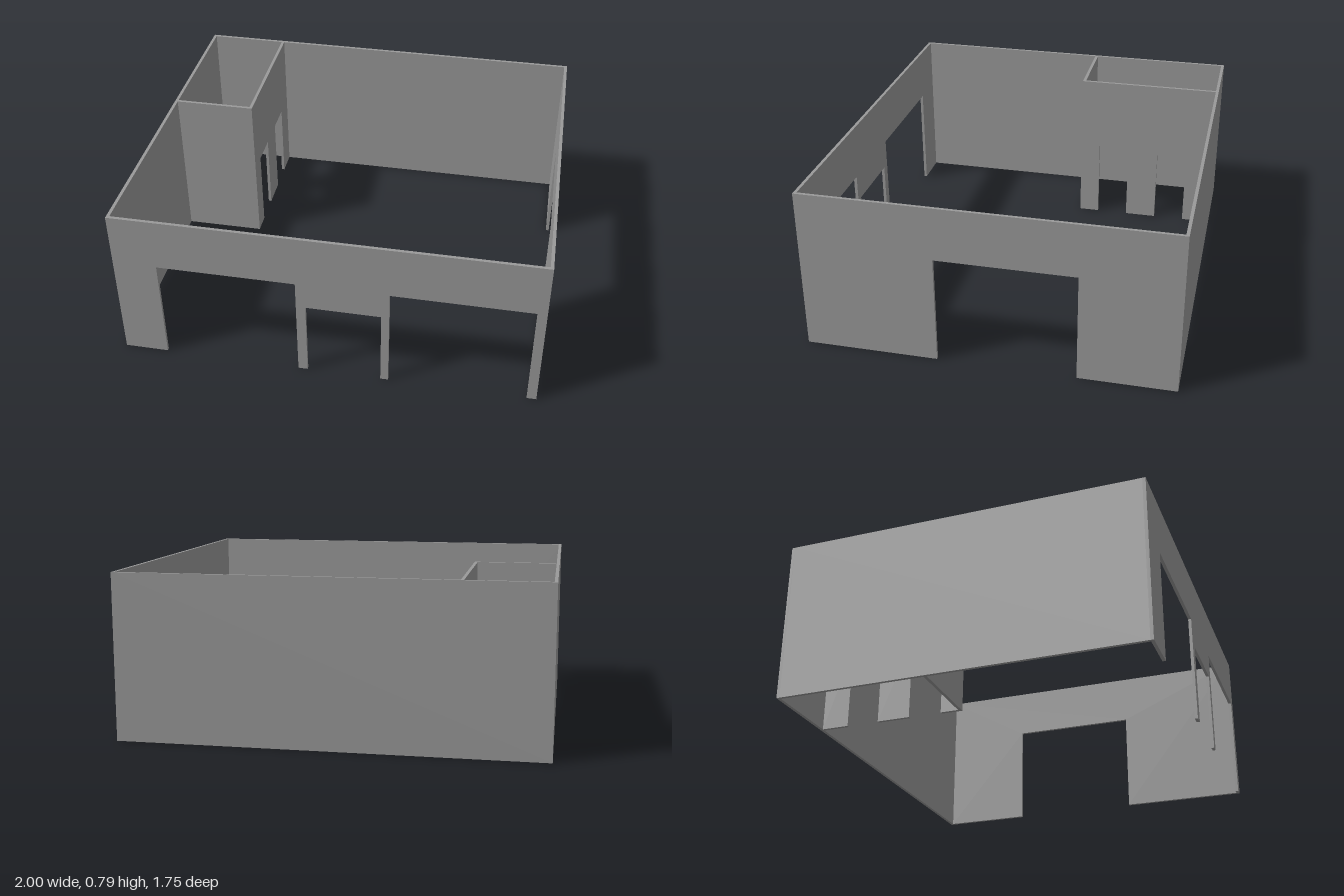
import * as THREE from 'three';

const HEIGHT = 0.79, THICK = 0.015, HALF_X = 1, HALF_Z = 0.873;

// Wall outline from u0 to u1; each opening [start, end, height] is cut up from the floor
function wallGeometry(u0, u1, openings = []) {
  const s = new THREE.Shape();
  s.moveTo(u0, 0);
  for (const [a, b, h] of openings) {
    s.lineTo(a, 0);
    s.lineTo(a, h);
    s.lineTo(b, h);
    s.lineTo(b, 0);
  }
  s.lineTo(u1, 0);
  s.lineTo(u1, HEIGHT);
  s.lineTo(u0, HEIGHT);
  s.closePath();
  return new THREE.ExtrudeGeometry(s, { depth: THICK, bevelEnabled: false });
}

export function createModel() {
  const model = new THREE.Group();
  model.name = 'roomShell';
  const plaster = new THREE.MeshStandardMaterial({ color: 0x999999 });
  plaster.name = 'greyPlaster';

  function add(name, geometry) {
    const mesh = new THREE.Mesh(geometry, plaster);
    mesh.name = name;
    model.add(mesh);
  }
  // Wall running along x, occupying z .. z + THICK
  const wallAlongX = (name, z, x0, x1, openings) =>
    add(name, wallGeometry(x0, x1, openings).translate(0, 0, z));
  // Wall running along z, occupying x .. x + THICK (openings listed from back to front)
  const wallAlongZ = (name, x, z0, z1, openings = []) => {
    const flipped = openings.map(([a, b, h]) => [-b, -a, h]).reverse();
    add(name, wallGeometry(-z1, -z0, flipped).rotateY(Math.PI / 2).translate(x, 0, 0));
  };

  const innerZ = HALF_Z - THICK;

  // Outer walls
  wallAlongX('frontWall', innerZ, -HALF_X, HALF_X, [
    [-0.79, -0.135, 0.53],
    [-0.09, 0.263, 0.395],
    [0.3, 0.955, 0.53],
  ]);
  wallAlongX('backWall', -HALF_Z, -HALF_X, HALF_X);
  wallAlongZ('leftWall', HALF_X - THICK, -innerZ, innerZ, [[-0.415, 0.24, 0.53]]);
  wallAlongZ('rightWall', -HALF_X, -innerZ, innerZ);

  // Small corner room with two doorways
  wallAlongZ('partitionSide', -0.603, -innerZ, -0.137, [
    [-0.725, -0.565, 0.41],
    [-0.403, -0.24, 0.41],
  ]);
  wallAlongX('partitionFront', -0.152, -HALF_X + THICK, -0.603);

  return model;
}
